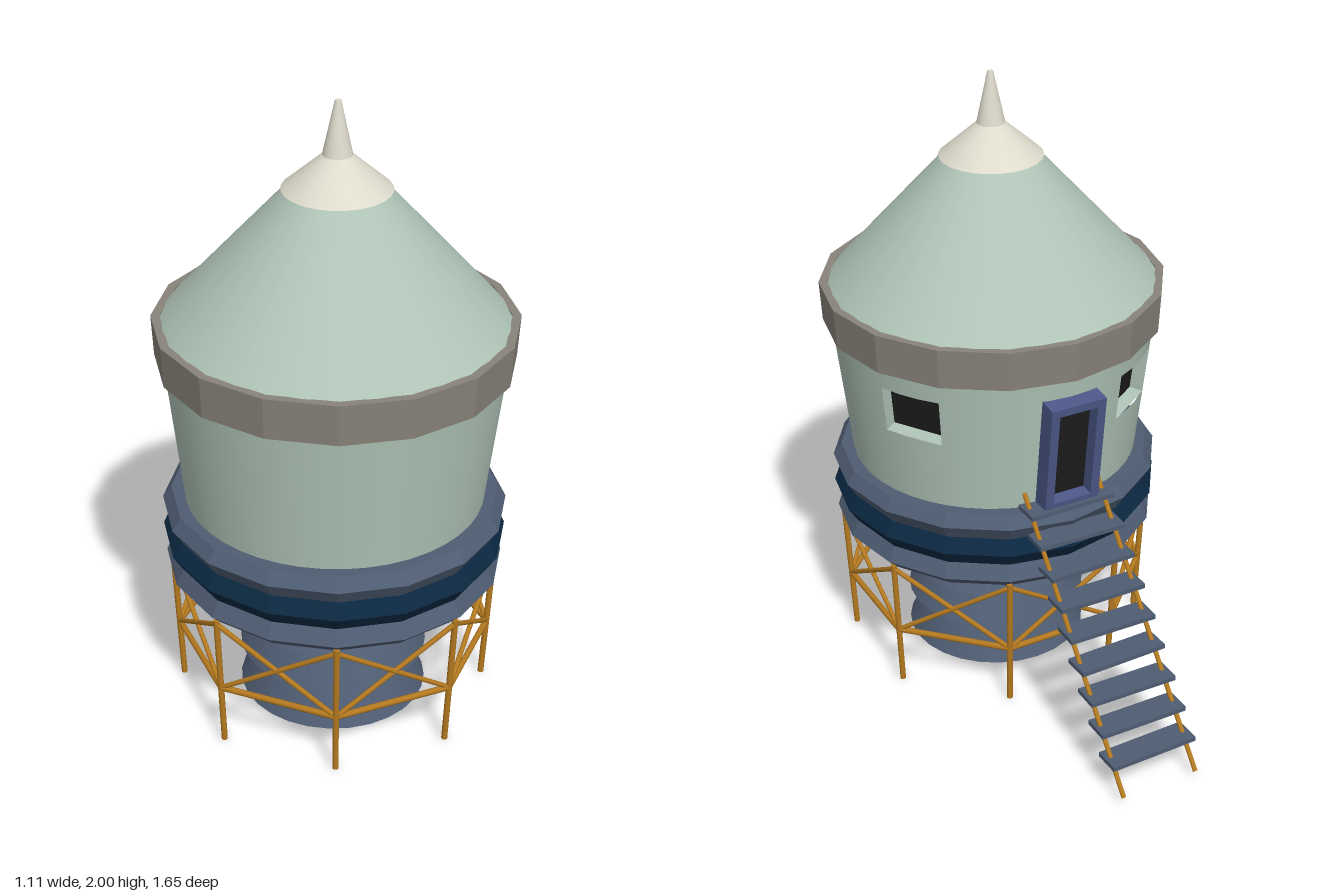
import * as THREE from 'three';
import { toCreasedNormals } from 'three/addons/utils/BufferGeometryUtils.js';

const mat = (name, color) => {
  const m = new THREE.MeshStandardMaterial({ color });
  m.name = name;
  return m;
};

export function createModel() {
  const green = mat('pale green', 0xafc4b7);
  const cream = mat('cream', 0xdedacc);
  const grey = mat('warm grey', 0x88837a);
  const slate = mat('slate blue', 0x4f5d73);
  const navy = mat('dark navy', 0x0b2740);
  const brass = mat('ochre metal', 0xb57a20);
  const blue = mat('door blue', 0x4c5888);
  const black = mat('near black', 0x1c1c1c);

  const model = new THREE.Group();
  model.name = 'waterTower';
  const tower = new THREE.Group();
  tower.name = 'tower';
  tower.position.z = 0.27;
  model.add(tower);

  const add = (parent, name, geometry, material) => {
    const mesh = new THREE.Mesh(geometry, material);
    mesh.name = name;
    parent.add(mesh);
    return mesh;
  };
  const lathe = (pts, segs, start, length) =>
    new THREE.LatheGeometry(pts.map(([r, y]) => new THREE.Vector2(r, y)), segs, start, length);
  // sixteen-sided ring with hard edges
  const faceted = pts => toCreasedNormals(lathe(pts, 16), 0.1);
  const frustum = (y0, r0, y1, r1, segs, open = false) =>
    new THREE.CylinderGeometry(r1, r0, y1 - y0, segs, 1, open).translate(0, (y0 + y1) / 2, 0);
  const rod = (parent, name, a, b, r) => {
    const dir = b.clone().sub(a);
    const mesh = add(parent, name, new THREE.CylinderGeometry(r, r, dir.length(), 8), brass);
    mesh.position.copy(a).addScaledVector(dir, 0.5);
    mesh.quaternion.setFromUnitVectors(new THREE.Vector3(0, 1, 0), dir.normalize());
  };

  // stepped central column, flaring downwards
  [[0.005, 0.30, 0.155, 0.225], [0.155, 0.30, 0.265, 0.235],
    [0.265, 0.28, 0.345, 0.22], [0.345, 0.245, 0.46, 0.2]]
    .forEach(c => add(tower, 'columnSection', frustum(...c, 28), [slate, slate, grey]));

  // ribbed belt under the tank
  add(tower, 'lowerBelt', faceted([[0, 0.455], [0.495, 0.455], [0.53, 0.49], [0.505, 0.54]]), slate);
  add(tower, 'middleBelt', faceted([[0.505, 0.54], [0.537, 0.59], [0.505, 0.635]]), navy);
  add(tower, 'upperBelt', faceted([[0.505, 0.635], [0.537, 0.687], [0.51, 0.727], [0.44, 0.727]]), slate);

  // tank wall, left open where the windows are
  const wallR = y => 0.468 + (y - 0.727) * 0.114;
  const TILT = Math.atan(0.114);
  const Y0 = 0.72, Y1 = 1.3, W0 = 0.962, W1 = 1.117, HALF = 0.2;
  const wall = (a, b, y0, y1) => add(tower, 'tankWall',
    lathe([[wallR(y0), y0], [wallR(y1), y1]], Math.max(3, Math.round((b - a) / 0.14)), a, b - a), green);
  const windows = [2.13, 3.75];
  wall(windows[0] + HALF, windows[1] - HALF, Y0, Y1);
  wall(windows[1] + HALF, windows[0] - HALF + Math.PI * 2, Y0, Y1);

  // group on the wall: its local +z points outwards
  const onWall = (name, phi, y) => {
    const g = new THREE.Group();
    g.name = name;
    g.rotation.order = 'YXZ';
    g.rotation.set(TILT, phi, 0);
    g.position.set(Math.sin(phi) * wallR(y), y, Math.cos(phi) * wallR(y));
    tower.add(g);
    return g;
  };

  // recessed windows: a box turned inside out with a dark pane at its back
  windows.forEach(phi => {
    wall(phi - HALF, phi + HALF, Y0, W0);
    wall(phi - HALF, phi + HALF, W1, Y1);
    const g = onWall('window', phi, (W0 + W1) / 2);
    const recess = new THREE.BoxGeometry(0.2, W1 - W0 + 0.002, 0.045).scale(-1, 1, 1).translate(0, 0, -0.028);
    recess.computeVertexNormals();
    add(g, 'windowRecess', recess, [green, green, green, green, green, black]);
  });

  // door with a deep frame
  const door = onWall('door', Math.PI, 0.93);
  const rect = (Ctor, w, h) => new Ctor([[-w, -h], [w, -h], [w, h], [-w, h]]
    .map(([x, y]) => new THREE.Vector2(x, y)));
  const frame = rect(THREE.Shape, 0.095, 0.192);
  frame.holes.push(rect(THREE.Path, 0.066, 0.165));
  add(door, 'doorFrame', new THREE.ExtrudeGeometry(frame, { depth: 0.075, bevelEnabled: false })
    .translate(0, 0, -0.022), blue);
  add(door, 'doorPanel', new THREE.BoxGeometry(0.135, 0.335, 0.008).translate(0, 0, 0.004), black);

  // eaves ring, roof, cap and spire
  add(tower, 'eavesRing', faceted([[0.51, 1.19], [0.547, 1.19], [0.554, 1.32], [0.527, 1.32], [0.527, 1.28]]), grey);
  add(tower, 'roof', frustum(1.305, 0.535, 1.75, 0.135, 32, true), green);
  add(tower, 'roofCap', frustum(1.73, 0.165, 1.835, 0.045, 24), cream);
  add(tower, 'spire', frustum(1.83, 0.046, 2.0, 0.009, 16), cream);

  // eight legs with girts and cross bracing
  const legPoint = (i, y) => {
    const a = (i + 0.5) * Math.PI / 4, r = 0.488 + y * 0.05;
    return new THREE.Vector3(Math.sin(a) * r, y, Math.cos(a) * r);
  };
  for (let i = 0; i < 8; i++) {
    rod(tower, 'leg', legPoint(i, 0.005), legPoint(i, 0.47), 0.01);
    rod(tower, 'girt', legPoint(i, 0.21), legPoint(i + 1, 0.21), 0.01);
    rod(tower, 'brace', legPoint(i, 0.21), legPoint(i + 1, 0.455), 0.008);
    rod(tower, 'brace', legPoint(i + 1, 0.21), legPoint(i, 0.455), 0.008);
  }

  // stairs at the back: two rails and nine slightly uneven treads
  const stairs = new THREE.Group();
  stairs.name = 'stairs';
  model.add(stairs);
  for (const x of [-0.13, 0.13])
    rod(stairs, 'stairRail', new THREE.Vector3(x, 0.78, -0.18), new THREE.Vector3(x, 0.027, -0.815), 0.008);
  for (let i = 0; i < 9; i++) {
    const tread = add(stairs, 'tread', new THREE.BoxGeometry(0.3, 0.015, 0.088), slate);
    tread.position.set(0, 0.12 + i * 0.0768, -0.737 + i * 0.0643);
    tread.rotation.y = 0.025 * Math.sin(i * 2.3 + 1);
  }
  return model;
}
